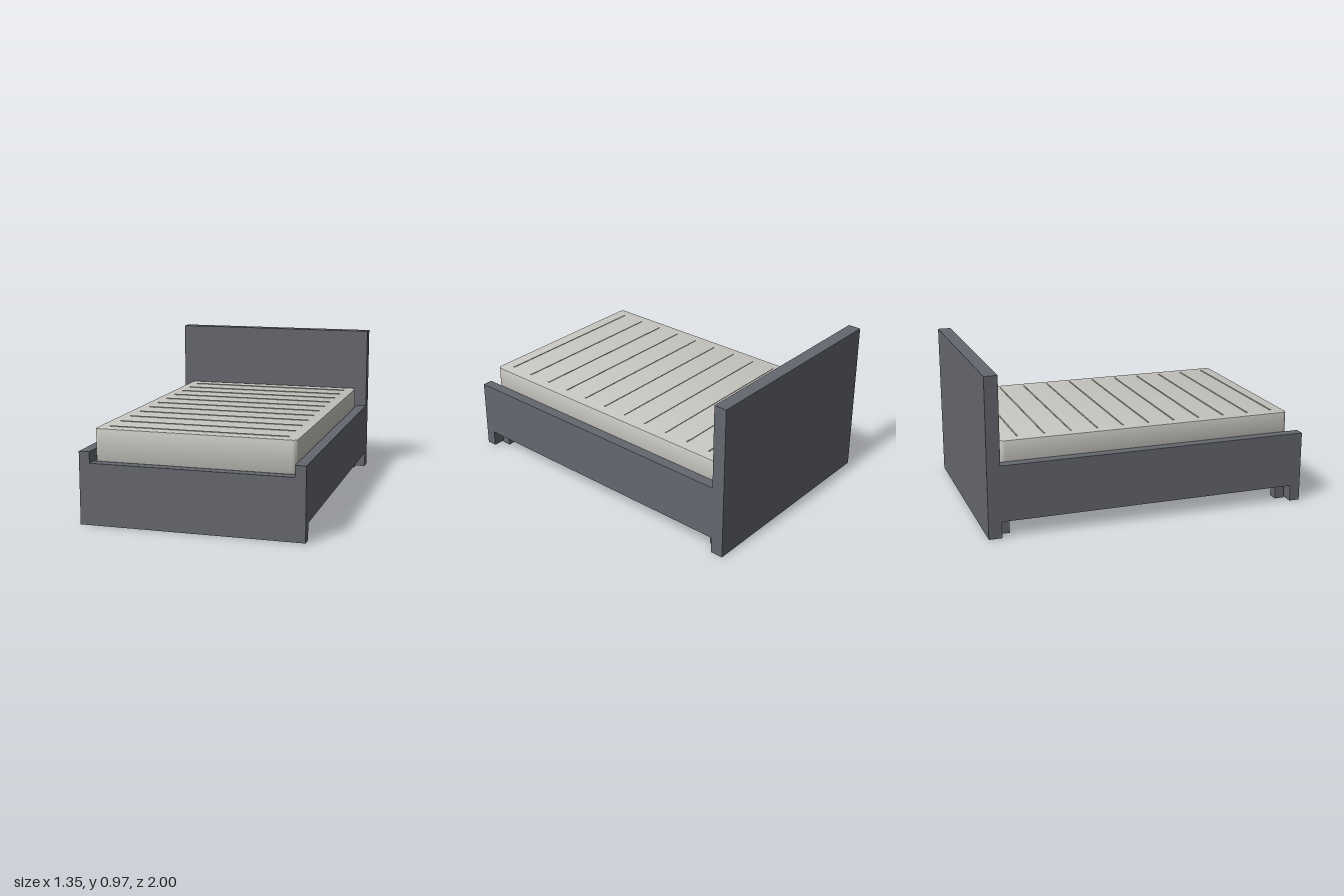
import * as THREE from 'three';
import { toCreasedNormals } from 'three/addons/utils/BufferGeometryUtils.js';

export function createModel() {
  const bed = new THREE.Group();
  bed.name = 'bed';
  const frameGrey = new THREE.MeshStandardMaterial({ name: 'frameGrey', color: 0x65676f });
  const mattressCream = new THREE.MeshStandardMaterial({ name: 'mattressCream', color: 0xc8c6c0 });

  // Box given by its minimum and maximum corners
  const box = (name, material, [x0, y0, z0], [x1, y1, z1]) => {
    const mesh = new THREE.Mesh(new THREE.BoxGeometry(x1 - x0, y1 - y0, z1 - z0), material);
    mesh.position.set((x0 + x1) / 2, (y0 + y1) / 2, (z0 + z1) / 2);
    mesh.name = name;
    bed.add(mesh);
  };

  // Headboard
  box('headboard', frameGrey, [-0.675, 0, -1], [0.675, 0.97, -0.92]);

  // Footboard with a lowered middle
  const foot = new THREE.Shape([
    [-0.675, 0], [0.675, 0], [0.675, 0.44], [0.61, 0.44],
    [0.61, 0.372], [-0.61, 0.372], [-0.61, 0.44], [-0.675, 0.44],
  ].map(([x, y]) => new THREE.Vector2(x, y)));
  const footboard = new THREE.Mesh(
    new THREE.ExtrudeGeometry(foot, { depth: 0.065, bevelEnabled: false }), frameGrey);
  footboard.position.z = 0.935;
  footboard.name = 'footboard';
  bed.add(footboard);

  // Base, side rails and legs
  box('base', frameGrey, [-0.61, 0.1, -0.92], [0.61, 0.37, 0.935]);
  for (const [side, a, b] of [['left', 0.61, 0.675], ['right', -0.675, -0.61]]) {
    box(side + 'Rail', frameGrey, [a, 0.1, -0.92], [b, 0.44, 0.935]);
    const legX = side === 'left' ? 0.545 : -0.61;
    box(side + 'FrontLeg', frameGrey, [legX, 0, 0.865], [legX + 0.065, 0.1, 0.925]);
    box(side + 'BackLeg', frameGrey, [legX, 0, -0.92], [legX + 0.065, 0.1, -0.86]);
  }

  // Mattress: rounded corners with a fine bevel around the top
  const bevel = 0.006, r = 0.025;
  const hx = 0.605 - bevel, hz = 0.915 - bevel;
  const outline = new THREE.Shape();
  outline.absarc(hx - r, hz - r, r, 0, Math.PI / 2);
  outline.absarc(-hx + r, hz - r, r, Math.PI / 2, Math.PI);
  outline.absarc(-hx + r, -hz + r, r, Math.PI, Math.PI * 1.5);
  outline.absarc(hx - r, -hz + r, r, Math.PI * 1.5, Math.PI * 2);
  const body = new THREE.ExtrudeGeometry(outline, {
    depth: 0.198 - 2 * bevel, bevelThickness: bevel, bevelSize: bevel, bevelSegments: 2, curveSegments: 6,
  });
  body.rotateX(-Math.PI / 2);
  const mattress = new THREE.Mesh(toCreasedNormals(body, 0.6), mattressCream);
  mattress.position.set(0, 0.367 + bevel, 0.012);
  mattress.name = 'mattress';
  bed.add(mattress);

  // Fine quilting ridges across the mattress
  for (let i = 0; i < 11; i++) {
    const z = 0.845 - i * 0.163;
    box('quiltRidge' + (i + 1), mattressCream, [-0.54, 0.56, z - 0.004], [0.54, 0.569, z + 0.004]);
  }
  return bed;
}
